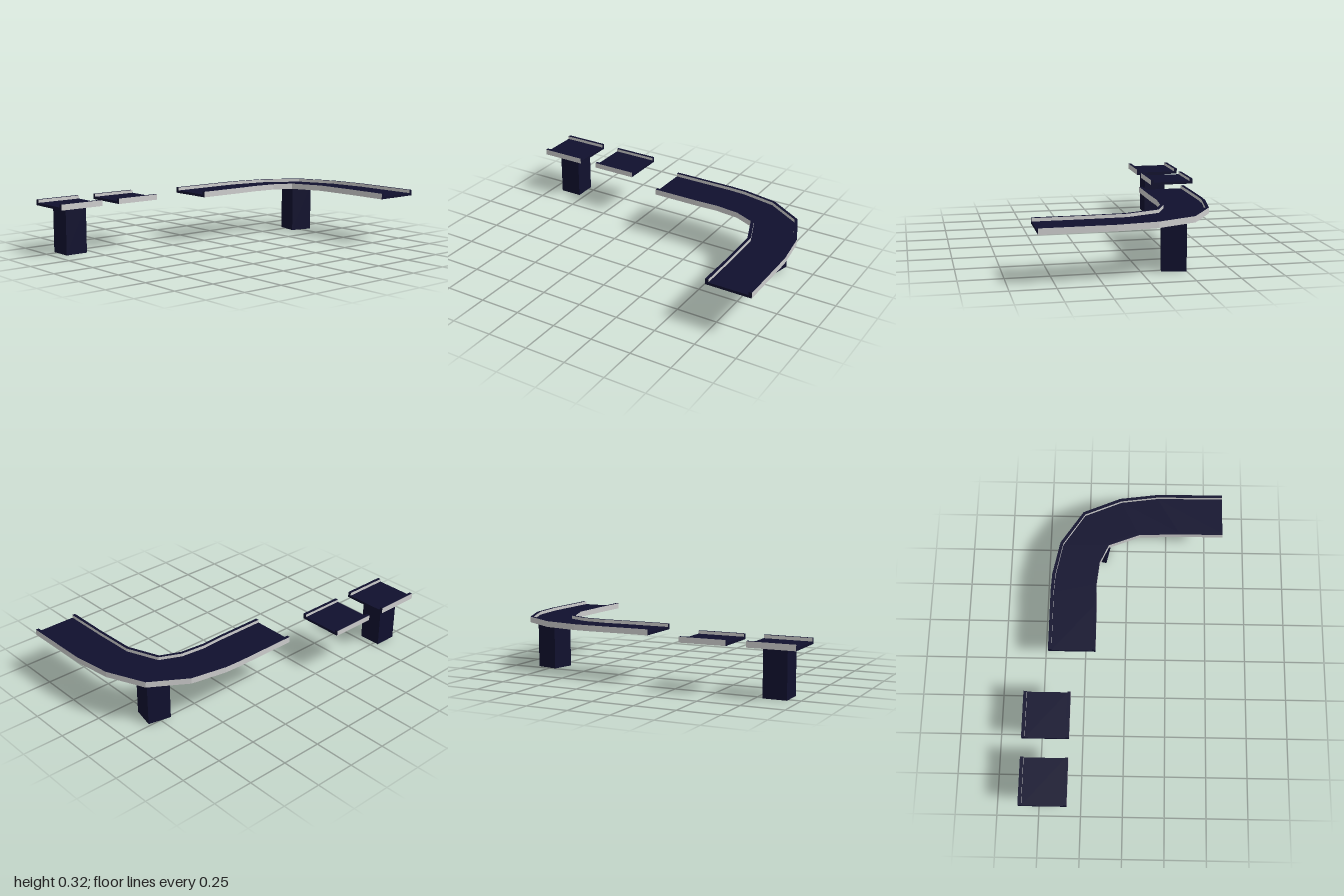
import * as THREE from 'three';

const navy = new THREE.MeshStandardMaterial({ color: 0x10102e, flatShading: true });
const grey = new THREE.MeshStandardMaterial({ color: 0xcccccc, flatShading: true });

const RAIL = 0.02; // rail thickness
const FLOOR = 0.016; // deck thickness

function quadMesh(name, quads, material) {
  const pos = [];
  for (const [a, b, c, d] of quads) for (const p of [a, b, c, a, c, d]) pos.push(p.x, p.y, p.z);
  const geo = new THREE.BufferGeometry();
  geo.setAttribute('position', new THREE.Float32BufferAttribute(pos, 3));
  geo.computeVertexNormals();
  const mesh = new THREE.Mesh(geo, material);
  mesh.name = name;
  return mesh;
}

// U-shaped track lofted through sections [outerX, outerZ, innerX, innerZ]
function track(name, sections, y0, y1) {
  const rings = sections.map(([ox, oz, ix, iz]) => {
    const t = RAIL / Math.hypot(ix - ox, iz - oz);
    const at = (f, y) => new THREE.Vector3(ox + (ix - ox) * f, y, oz + (iz - oz) * f);
    const f = y0 + FLOOR;
    return [at(0, y0), at(0, y1), at(t, y1), at(t, f), at(1 - t, f), at(1 - t, y1), at(1, y1), at(1, y0)];
  });
  const deck = [], walls = [];
  for (let k = 0; k < rings.length - 1; k++) {
    const a = rings[k], b = rings[k + 1];
    for (let j = 0; j < 8; j++) {
      const n = (j + 1) % 8;
      // even strips are the upright rail faces
      (j % 2 === 0 ? walls : deck).push([a[j], a[n], b[n], b[j]]);
    }
  }
  // end caps
  const first = rings[0], last = rings[rings.length - 1];
  for (const q of [[0, 3, 2, 1], [0, 7, 4, 3], [7, 6, 5, 4]]) {
    deck.push(q.map((i) => first[i]));
    deck.push([...q].reverse().map((i) => last[i]));
  }
  const group = new THREE.Group();
  group.name = name;
  group.add(quadMesh(name + 'Deck', deck, navy), quadMesh(name + 'RailSides', walls, grey));
  return group;
}

function pillar(name, x, z, y0, y1, angle) {
  const mesh = new THREE.Mesh(new THREE.BoxGeometry(0.14, y1 - y0, 0.14), navy);
  mesh.position.set(x, (y0 + y1) / 2, z);
  mesh.rotation.y = angle;
  mesh.name = name;
  return mesh;
}

export function createModel() {
  const model = new THREE.Group();
  model.name = 'trackPieces';

  // short straight pieces
  const straight = (zFront, zBack) => [[-0.597, zFront, -0.317, zFront], [-0.597, zBack, -0.317, zBack]];
  model.add(track('supportedStraight', straight(1, 0.718), 0.283, 0.318));
  model.add(track('plainStraight', straight(0.6, 0.318), 0.283, 0.316));

  // large corner piece
  model.add(track('corner', [
    [-0.463, 0.055, -0.178, 0.055],
    [-0.463, -0.33, -0.178, -0.23],
    [-0.458, -0.437, -0.183, -0.373],
    [-0.415, -0.653, -0.167, -0.52],
    [-0.278, -0.865, -0.114, -0.638],
    [-0.05, -0.963, 0.077, -0.712],
    [0.177, -0.994, 0.336, -0.721],
    [0.595, -1, 0.595, -0.721],
  ], 0.288, 0.323));

  // supports
  model.add(pillar('straightPillar', -0.458, 0.859, 0, 0.285, 0));
  model.add(pillar('cornerPillar', -0.188, -0.746, 0.006, 0.29, -0.22));
  return model;
}
